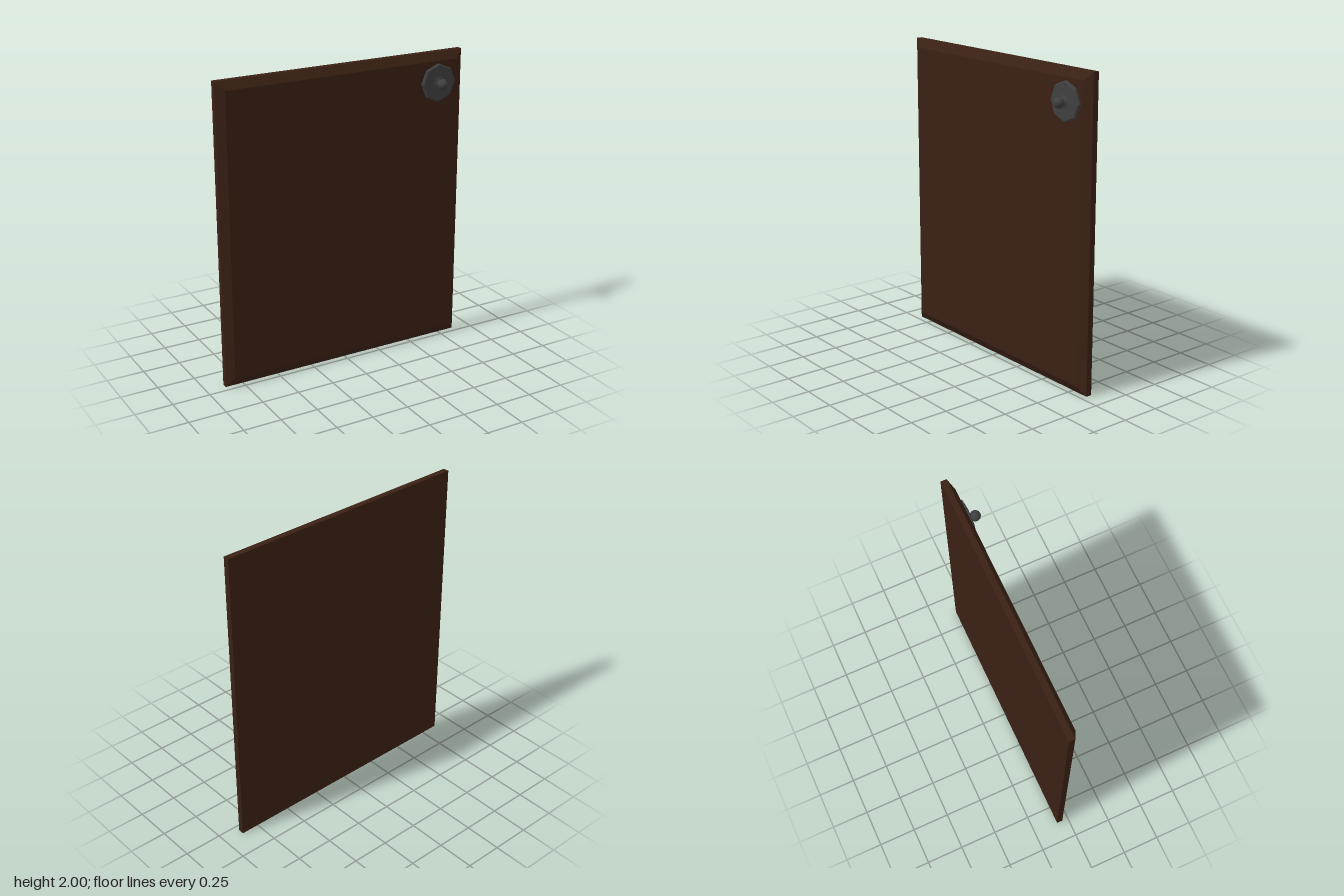
import * as THREE from 'three';

const wood = new THREE.MeshStandardMaterial({ color: 0x3a2114, flatShading: true });
const iron = new THREE.MeshStandardMaterial({ color: 0x404040, flatShading: true });
const ironSmooth = new THREE.MeshStandardMaterial({ color: 0x404040 });

function addMesh(parent, name, geometry, material) {
  const mesh = new THREE.Mesh(geometry, material);
  mesh.name = name;
  parent.add(mesh);
  return mesh;
}

// Slab whose front edge is chamfered all round
function panelGeometry(width, height, back, edge, front, inset) {
  const geo = new THREE.BoxGeometry(width, height, 2, 1, 1, 2);
  const p = geo.attributes.position;
  for (let i = 0; i < p.count; i++) {
    const layer = Math.round(p.getZ(i)); // -1 back, 0 edge, 1 front
    p.setZ(i, [back, edge, front][layer + 1]);
    if (layer === 1) {
      p.setX(i, p.getX(i) - Math.sign(p.getX(i)) * inset);
      p.setY(i, p.getY(i) - Math.sign(p.getY(i)) * inset);
    }
  }
  geo.computeVertexNormals();
  return geo;
}

export function createModel() {
  const model = new THREE.Group();
  model.name = 'cabinetDoor';

  const door = addMesh(model, 'doorPanel', panelGeometry(1.74, 2, -0.081, -0.042, -0.012, 0.055), wood);
  door.position.y = 1;

  // Knob group: lathe axis turned to face the front
  const knob = new THREE.Group();
  knob.name = 'knob';
  knob.position.set(0.675, 1.805, 0);
  knob.rotation.x = Math.PI / 2;
  model.add(knob);

  // Octagonal plate with a raised neck in the middle
  const profile = [
    [0, -0.014], [0.125, -0.014], [0.125, 0.001], [0.116, 0.007],
    [0.045, 0.008], [0.025, 0.014], [0.013, 0.022], [0, 0.024],
  ].map(([r, y]) => new THREE.Vector2(r, y));
  addMesh(knob, 'knobPlate', new THREE.LatheGeometry(profile, 8), iron);

  // Round grip
  const ball = addMesh(knob, 'knobBall', new THREE.SphereGeometry(0.034, 16, 12), ironSmooth);
  ball.position.y = 0.048;

  return model;
}
